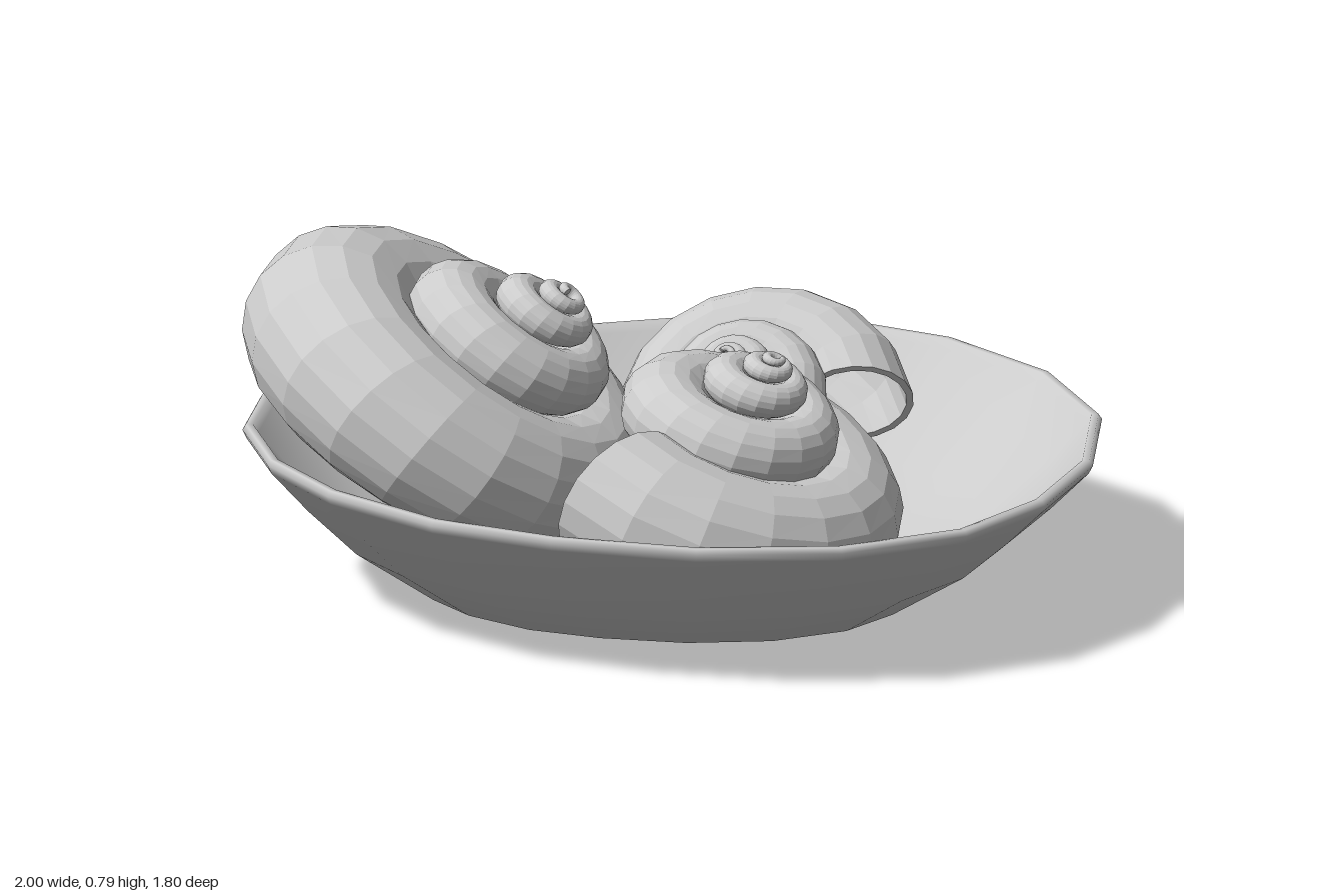
import * as THREE from 'three';

const material = (flat) => new THREE.MeshStandardMaterial({
  color: 0xcccccc, flatShading: flat, side: THREE.DoubleSide,
});

// Skin a list of closed rings of equal length
function loft(rings) {
  const n = rings[0].length, index = [];
  for (let i = 0; i < rings.length - 1; i++) {
    for (let j = 0; j < n; j++) {
      const a = i * n + j, b = i * n + (j + 1) % n;
      index.push(a, a + n, b + n, a, b + n, b);
    }
  }
  const geometry = new THREE.BufferGeometry().setFromPoints(rings.flat());
  geometry.setIndex(index);
  geometry.computeVertexNormals();
  return geometry;
}

// Bowl: an uneven hand-shaped outline scaled along a wall profile
function createBowl() {
  const outline = [
    [0.36, -0.9], [0.65, -0.76], [0.88, -0.51], [1, -0.19], [0.98, 0.17],
    [0.87, 0.48], [0.69, 0.72], [0.4, 0.87], [0.06, 0.9], [-0.28, 0.83],
    [-0.56, 0.71], [-0.8, 0.5], [-0.94, 0.27], [-1, 0], [-0.96, -0.24],
    [-0.83, -0.48], [-0.52, -0.67], [-0.28, -0.79], [0.03, -0.88],
  ];
  // [scale of outline, height]: underside, outer wall, lip, inner wall, floor
  const profile = [
    [0, 0], [0.4, 0], [0.59, 0.006], [0.78, 0.13], [0.9, 0.243], [0.99, 0.34],
    [1, 0.36], [0.992, 0.373], [0.975, 0.373], [0.962, 0.355],
    [0.88, 0.265], [0.74, 0.145], [0.55, 0.04], [0.4, 0.025], [0, 0.025],
  ];
  // the foot is narrower from front to back than the rim
  const rings = profile.map(([s, y]) => outline.map(([x, z]) => new THREE.Vector3(
    x * s, y * (1 - 0.045 * x * s - 0.03 * z * s), z * s * (0.9 + 0.1 * Math.min(1, y / 0.34)))));
  const bowl = new THREE.Mesh(loft(rings), material(false));
  bowl.name = 'bowl';
  return bowl;
}

// Snail shell: a tube that winds around its axis and shrinks towards the apex
function createShell(name, apex, axis, size, mouthAngle) {
  const sides = 18, steps = 18, turns = 4.4;
  const ring = (t, thickness) => {
    // the whorl levels out as it reaches the mouth
    const mouth = Math.exp(-t / 0.3);
    const s = size * Math.pow(2.1, -(t - 0.15 * (1 - mouth)));
    const r = 0.39 * s, drop = 0.5 * s * (1 - 0.1 * mouth), tube = 0.217 * s * thickness;
    const phi = mouthAngle + t * Math.PI * 2;
    return Array.from({ length: sides }, (_, j) => {
      const a = j / sides * Math.PI * 2, d = r + tube * Math.cos(a);
      return new THREE.Vector3(d * Math.cos(phi), tube * Math.sin(a) - drop, -d * Math.sin(phi));
    });
  };
  const rings = [];
  // inner wall of the mouth, then the outer whorls
  for (let i = 9; i >= 0; i--) rings.push(ring(i / steps, 0.88));
  for (let i = 0; i <= turns * steps; i++) rings.push(ring(i / steps, 1));
  // closed tip
  rings.push(ring(turns, 0.001));

  const shell = new THREE.Mesh(loft(rings), material(true));
  shell.name = name;
  shell.position.set(...apex);
  shell.quaternion.setFromUnitVectors(
    new THREE.Vector3(0, 1, 0), new THREE.Vector3(...axis).normalize());
  return shell;
}

export function createModel() {
  const model = new THREE.Group();
  model.name = 'bowlOfShells';
  const deg = Math.PI / 180;
  model.add(
    createBowl(),
    createShell('largeShell', [-0.22, 0.72, -0.03], [0.6, 0.79, 0.1], 1.075, 93 * deg),
    createShell('mediumShell', [0.25, 0.62, 0.165], [0.34, 0.93, 0.15], 0.85, 222 * deg),
    createShell('smallShell', [0.12, 0.47, -0.34], [-0.2, 0.78, 0.56], 0.64, 0),
  );
  return model;
}
